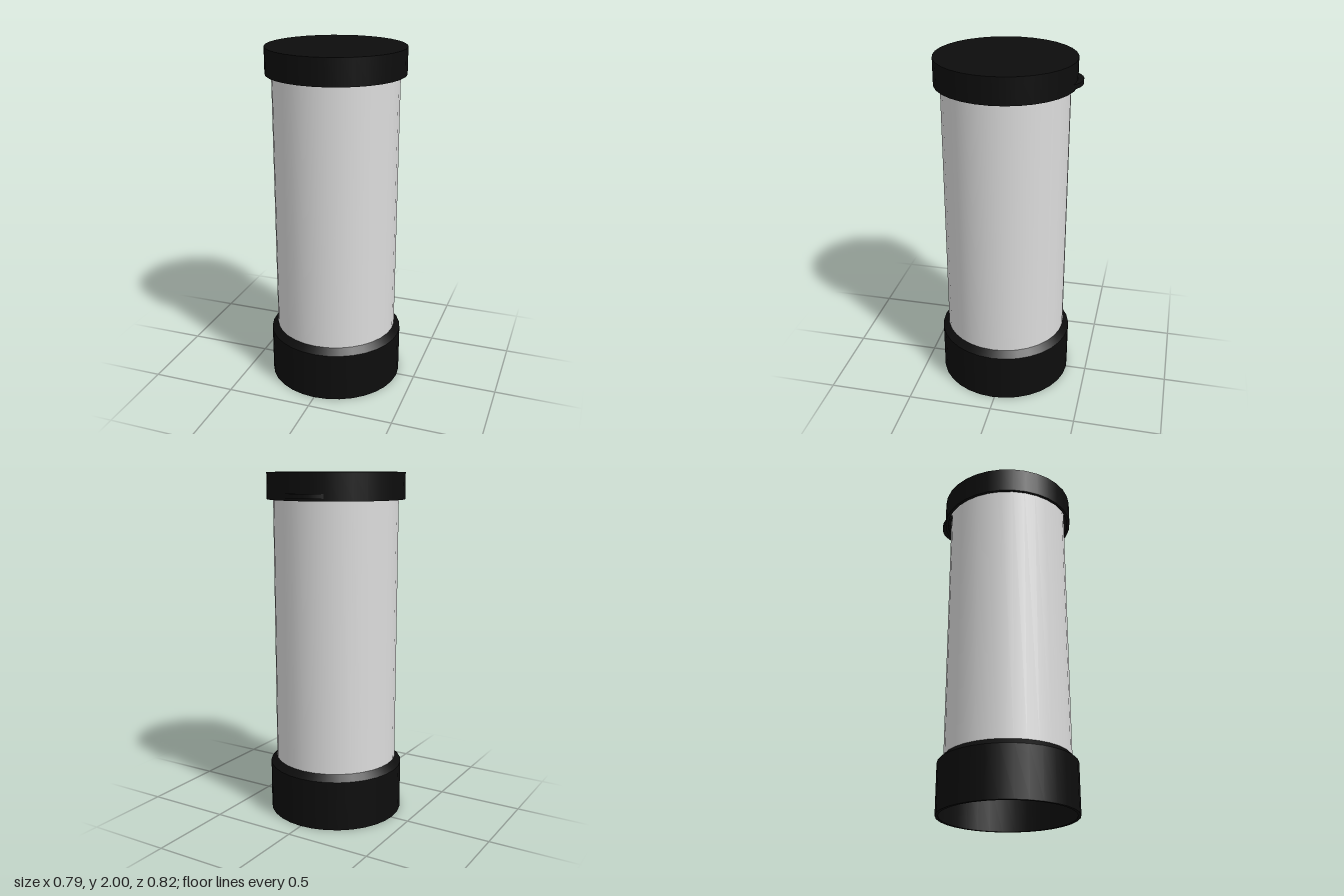
import * as THREE from 'three';

const SIDES = 32;
const CENTER_Z = 0.015;

// Revolves a list of [radius, height] runs; each run is its own smooth band, so edges between runs stay sharp.
function turned(name, material, runs) {
  const part = new THREE.Group();
  part.name = name;
  for (const [label, ...points] of runs) {
    const profile = points.map(([r, y]) => new THREE.Vector2(r, y));
    const band = new THREE.Mesh(new THREE.LatheGeometry(profile, SIDES), material);
    band.name = label;
    part.add(band);
  }
  return part;
}

export function createModel() {
  const black = new THREE.MeshStandardMaterial({ color: 0x0d0d0d, side: THREE.DoubleSide });
  black.name = 'black plastic';
  const grey = new THREE.MeshStandardMaterial({ color: 0xdcdcdc, side: THREE.DoubleSide });
  grey.name = 'light grey';

  const model = new THREE.Group();
  model.name = 'canister';

  // Hollow base cup with a chamfered shoulder and a recessed floor
  const base = turned('base', black, [
    ['outerWall', [0.393, 0], [0.393, 0.29]],
    ['shoulder', [0.393, 0.29], [0.357, 0.325]],
    ['innerShoulder', [0.358, 0.318], [0.376, 0.28]],
    ['innerWall', [0.376, 0.28], [0.376, 0]],
    ['rim', [0.376, 0], [0.393, 0]],
    ['floor', [0.358, 0.321], [0, 0.321]],
  ]);

  // Straight tube, its lower edge just showing under the floor
  const tube = turned('tube', grey, [
    ['tubeWall', [0.357, 0.315], [0.357, 1.98]],
  ]);

  // Lid with a thin skirt around the tube
  const lid = turned('lid', black, [
    ['skirt', [0.393, 1.85], [0.393, 2]],
    ['top', [0.393, 2], [0, 2]],
    ['innerSkirt', [0.376, 1.98], [0.376, 1.85]],
    ['skirtRim', [0.376, 1.85], [0.393, 1.85]],
    ['underside', [0, 1.98], [0.376, 1.98]],
  ]);

  for (const part of [base, tube, lid]) {
    part.position.z = CENTER_Z;
    model.add(part);
  }

  // Rounded thumb tab at the back of the lid
  const tab = new THREE.Mesh(new THREE.CylinderGeometry(0.17, 0.17, 0.025, SIDES), black);
  tab.name = 'lidTab';
  tab.position.set(-0.018, 1.876, -0.238);
  model.add(tab);

  return model;
}
